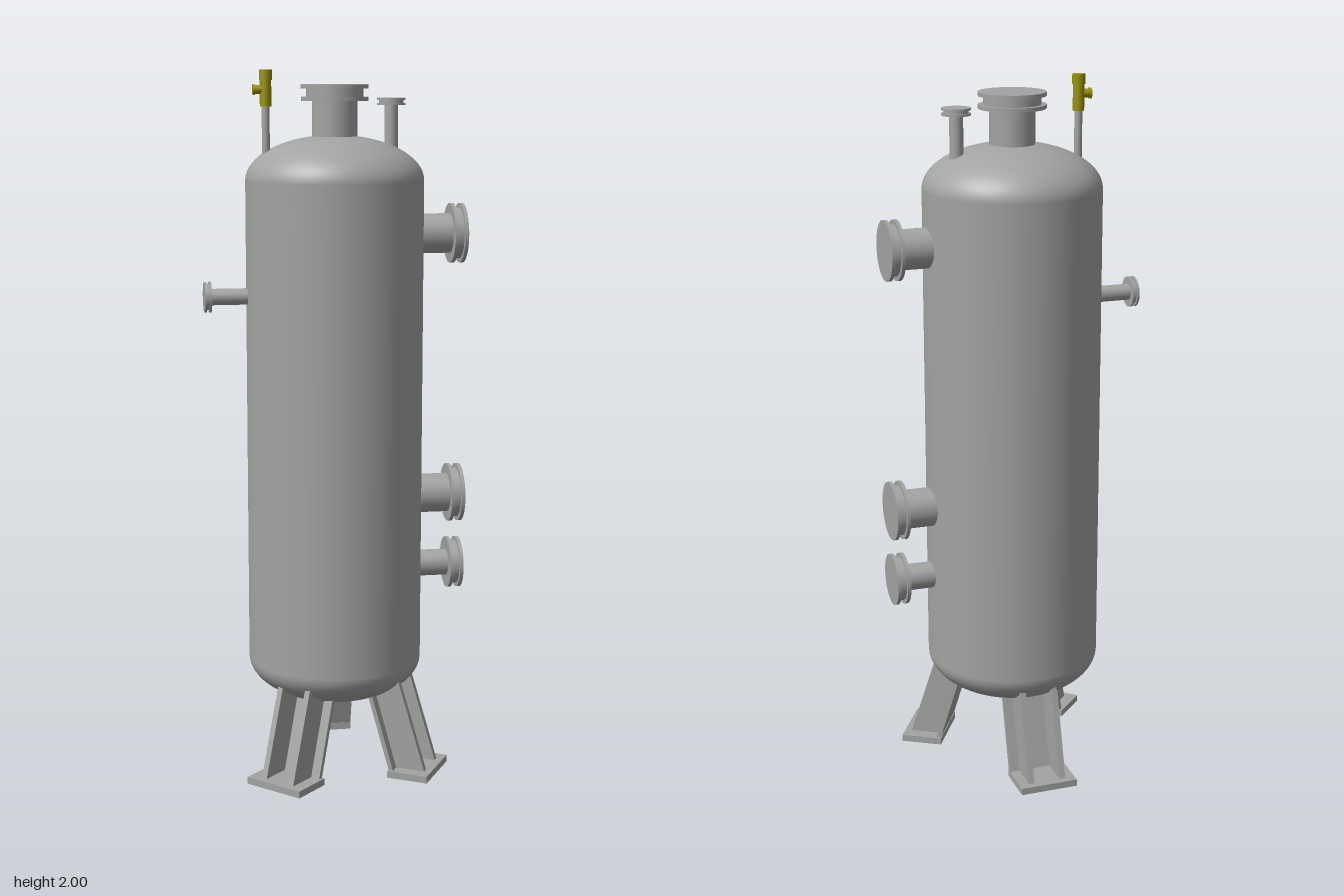
import * as THREE from 'three';

const steel = new THREE.MeshStandardMaterial({ color: 0xa2a4a2 });
steel.name = 'steel grey';
const brass = new THREE.MeshStandardMaterial({ color: 0x999209 });
brass.name = 'olive yellow';

function add(parent, name, geometry, material = steel) {
  const mesh = new THREE.Mesh(geometry, material);
  mesh.name = name;
  parent.add(mesh);
  return mesh;
}

// Upright disc or pipe between two heights
function disc(parent, name, r, y0, y1, material = steel, x = 0) {
  const mesh = add(parent, name, new THREE.CylinderGeometry(r, r, y1 - y0, 40), material);
  mesh.position.set(x, (y0 + y1) / 2, 0);
  return mesh;
}

// Flanged, blanked-off nozzle along local +y, between start and end
function nozzle(parent, name, { neck, flange, start, end, plate, gap }) {
  const g = new THREE.Group();
  g.name = name;
  const seat = end - plate * 2 - gap;
  disc(g, 'neck', neck, start, seat + plate / 2);
  disc(g, 'flange', flange, seat, seat + plate);
  disc(g, 'gasket', flange * 0.85, seat + plate, end - plate);
  disc(g, 'blindCover', flange, end - plate, end);
  parent.add(g);
  return g;
}

// Cross-section in (outward, up), extruded sideways about z
function slab(parent, name, points, thickness, z = 0) {
  const shape = new THREE.Shape(points.map(([x, y]) => new THREE.Vector2(x, y)));
  const geo = new THREE.ExtrudeGeometry(shape, { depth: thickness, bevelEnabled: false });
  geo.translate(0, 0, z - thickness / 2);
  return add(parent, name, geo);
}

function leg(parent, name, angle, shift, width) {
  const g = new THREE.Group();
  g.name = name;
  g.rotation.y = angle;
  const foot = add(g, 'footPlate', new THREE.BoxGeometry(0.12, 0.02, width));
  foot.position.set(0.266, 0.01, shift);
  // Sloping inner plate with two outward ribs
  slab(g, 'innerPlate', [[0.208, 0.02], [0.221, 0.02], [0.154, 0.245], [0.141, 0.245]], 0.168, shift);
  for (const s of [-1, 1]) {
    slab(g, 'rib', [[0.214, 0.02], [0.306, 0.02], [0.222, 0.29], [0.14, 0.25]], 0.017, shift + s * 0.047);
  }
  parent.add(g);
}

export function createModel() {
  const model = new THREE.Group();
  model.name = 'pressureVessel';
  const body = new THREE.Group();
  body.name = 'vesselAssembly';
  body.position.z = 0.005;
  model.add(body);

  // Shell with elliptical ends
  const R = 0.25, H = 0.125, low = 0.318, high = 1.697, N = 16;
  const lower = [], upper = [];
  for (let i = 0; i <= N; i++) {
    const a = (i / N) * Math.PI / 2;
    lower.push(new THREE.Vector2(R * Math.sin(a), low - H * Math.cos(a)));
    upper.push(new THREE.Vector2(R * Math.cos(a), high + H * Math.sin(a)));
  }
  upper[N].x = 0;
  add(body, 'shell', new THREE.LatheGeometry([...lower, ...upper], 64));

  // Top nozzles
  nozzle(body, 'topManway', { neck: 0.063, flange: 0.094, start: 1.78, end: 1.96, plate: 0.011, gap: 0.023 });
  nozzle(body, 'topVent', { neck: 0.019, flange: 0.04, start: 1.75, end: 1.923, plate: 0.006, gap: 0.008 })
    .position.x = 0.16;

  // Side nozzles
  for (const [y, neck, flange] of [[1.545, 0.056, 0.084], [0.79, 0.056, 0.084], [0.58, 0.038, 0.074]]) {
    const n = nozzle(body, 'sideNozzle', { neck, flange, start: 0.2, end: 0.368, plate: 0.01, gap: 0.018 });
    n.rotation.z = -Math.PI / 2;
    n.position.y = y;
  }
  const small = nozzle(body, 'smallSideNozzle', { neck: 0.023, flange: 0.043, start: 0.2, end: 0.37, plate: 0.006, gap: 0.007 });
  small.rotation.z = Math.PI / 2;
  small.position.y = 1.375;

  // Relief valve on a thin riser
  disc(body, 'valveRiser', 0.011, 1.72, 1.91, steel, -0.193);
  const valve = new THREE.Group();
  valve.name = 'reliefValve';
  valve.position.x = -0.193;
  body.add(valve);
  disc(valve, 'valveBody', 0.016, 1.9, 1.975, brass);
  disc(valve, 'valveCap', 0.018, 1.972, 2.0, brass);
  const outlet = disc(valve, 'valveOutlet', 0.012, 0, 0.036, brass);
  outlet.rotation.z = Math.PI / 2;
  outlet.position.set(-0.016, 1.946, 0);
  const lip = disc(valve, 'outletLip', 0.015, 0, 0.005, brass);
  lip.rotation.z = Math.PI / 2;
  lip.position.set(-0.033, 1.946, 0);

  // Three splayed legs
  leg(body, 'backLeg', Math.PI / 2, -0.001, 0.168);
  leg(body, 'frontLeftLeg', -0.54, 0.018, 0.184);
  leg(body, 'frontRightLeg', -Math.PI * 0.75, -0.021, 0.184);

  return model;
}
